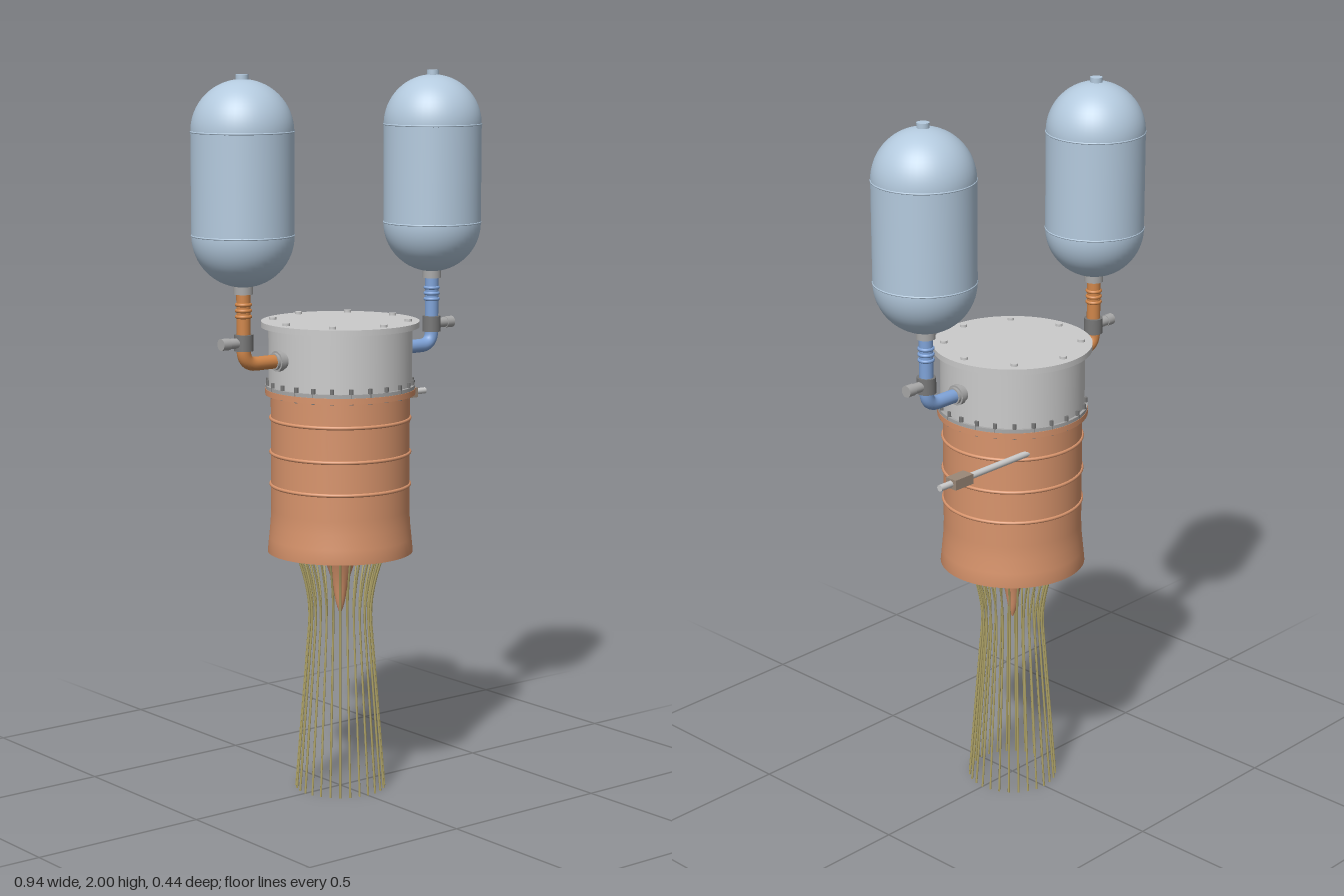
import * as THREE from 'three';

const paint = (color) => new THREE.MeshStandardMaterial({ color });
const grey = paint(0xcccccc), steel = paint(0xa8a8a8), dark = paint(0x777777);
const copper = paint(0xd8946c), tankBlue = paint(0xb4cade);
const fuel = paint(0xd0864a), oxidiser = paint(0x7fa3d8);
const brown = paint(0x9a8878), olive = paint(0xb0a468);
copper.side = THREE.DoubleSide;

function add(parent, name, geometry, material, x = 0, y = 0, z = 0) {
  const mesh = new THREE.Mesh(geometry, material);
  mesh.name = name;
  mesh.position.set(x, y, z);
  parent.add(mesh);
  return mesh;
}

// Upright cylinder given by its lower and upper height
function post(parent, name, r, y0, y1, material, x = 0, z = 0, sides = 32) {
  return add(parent, name, new THREE.CylinderGeometry(r, r, y1 - y0, sides), material, x, (y0 + y1) / 2, z);
}

// Cylinder lying along x
function bar(parent, name, r, x0, x1, y, z, material, sides = 24) {
  const mesh = add(parent, name, new THREE.CylinderGeometry(r, r, x1 - x0, sides), material, (x0 + x1) / 2, y, z);
  mesh.rotation.z = Math.PI / 2;
  return mesh;
}

function hoop(parent, name, r, tube, y, material, x = 0) {
  const mesh = add(parent, name, new THREE.TorusGeometry(r, tube, 10, 64), material, x, y, 0);
  mesh.rotation.x = Math.PI / 2;
  return mesh;
}

function boltCircle(parent, name, count, r, size, y0, y1, material) {
  const ring = new THREE.Group();
  ring.name = name;
  for (let i = 0; i < count; i++) {
    const a = (i / count) * Math.PI * 2;
    post(ring, 'bolt', size, y0, y1, material, r * Math.cos(a), r * Math.sin(a), 12);
  }
  parent.add(ring);
}

// Tank with its feed line; side is +1 or -1
function feedSystem(side, material) {
  const g = new THREE.Group();
  g.name = side > 0 ? 'leftFeedSystem' : 'rightFeedSystem';
  const x = side * 0.33;
  const span = (name, r, a, b, y, m) =>
    bar(g, name, r, Math.min(side * a, side * b), Math.max(side * a, side * b), y, 0, m);

  add(g, 'tank', new THREE.CapsuleGeometry(0.137, 0.275, 16, 48), tankBlue, x, 1.713, 0);
  for (const y of [1.577, 1.85]) hoop(g, 'tankWeld', 0.136, 0.0025, y, tankBlue, x);
  post(g, 'tankCap', 0.017, 1.97, 2, tankBlue, x);
  post(g, 'tankOutlet', 0.026, 1.42, 1.45, steel, x);

  // Pipe down from the tank, round the elbow and into the housing
  const path = new THREE.CurvePath();
  const v = (px, py) => new THREE.Vector3(side * px, py, 0);
  path.add(new THREE.LineCurve3(v(0.33, 1.43), v(0.33, 1.27)));
  path.add(new THREE.QuadraticBezierCurve3(v(0.33, 1.27), v(0.33, 1.23), v(0.29, 1.23)));
  path.add(new THREE.LineCurve3(v(0.29, 1.23), v(0.19, 1.23)));
  add(g, 'feedPipe', new THREE.TubeGeometry(path, 60, 0.019, 20), material);
  for (const y of [1.36, 1.376, 1.392]) hoop(g, 'bellowsRing', 0.018, 0.005, y, material, x);

  // Valve with its actuator pointing outwards
  post(g, 'valveBody', 0.026, 1.268, 1.312, dark, x);
  span('valveActuator', 0.014, 0.33, 0.385, 1.29, steel);
  span('actuatorCap', 0.016, 0.38, 0.405, 1.29, steel);
  span('inletFlange', 0.028, 0.208, 0.222, 1.23, steel);
  span('inletCollar', 0.023, 0.19, 0.23, 1.23, steel);
  return g;
}

export function createModel() {
  const model = new THREE.Group();
  model.name = 'plugNozzleEngine';

  // Grey upper housing and bolted lid
  post(model, 'housing', 0.198, 1.14, 1.31, grey, 0, 0, 64);
  post(model, 'lid', 0.218, 1.308, 1.324, grey, 0, 0, 64);
  boltCircle(model, 'lidBolts', 8, 0.187, 0.01, 1.32, 1.331, grey);
  post(model, 'housingFlange', 0.206, 1.138, 1.148, steel, 0, 0, 64);
  boltCircle(model, 'flangeBolts', 24, 0.2, 0.006, 1.12, 1.162, dark);
  post(model, 'chamberFlange', 0.207, 1.122, 1.138, copper, 0, 0, 64);

  // Copper shell, hollow at its lower end
  const shell = [[0.192, 1.125], [0.192, 0.8], [0.194, 0.76], [0.198, 0.72], [0.202, 0.68],
    [0.196, 0.68], [0.19, 0.73], [0.182, 0.8], [0.178, 0.9], [0.05, 0.9]];
  add(model, 'chamberShell',
    new THREE.LatheGeometry(shell.map(([r, y]) => new THREE.Vector2(r, y)).reverse(), 64), copper);
  for (const y of [1.055, 0.96, 0.87]) hoop(model, 'chamberBand', 0.192, 0.005, y, copper);

  // Concave central spike
  const spike = new THREE.SplineCurve([[0.002, 0.5], [0.012, 0.53], [0.026, 0.6], [0.055, 0.68],
    [0.105, 0.77], [0.15, 0.83], [0.165, 0.9]].map(([r, y]) => new THREE.Vector2(r, y)));
  add(model, 'centralSpike', new THREE.LatheGeometry(spike.getPoints(24), 48), copper);

  // Exhaust streamlines, drawn in to a waist and then spreading
  const stream = new THREE.CatmullRomCurve3([[0.172, 0.84], [0.15, 0.75], [0.122, 0.67], [0.098, 0.59],
    [0.087, 0.51], [0.095, 0.38], [0.11, 0.19], [0.125, 0]].map(([r, y]) => new THREE.Vector3(r, y, 0)));
  const streamGeometry = new THREE.TubeGeometry(stream, 36, 0.003, 6);
  const plume = new THREE.Group();
  plume.name = 'exhaustStreamlines';
  const lines = 28;
  for (let i = 0; i < lines; i++) {
    add(plume, 'streamline', streamGeometry, olive).rotation.y = (i / lines) * Math.PI * 2;
  }
  model.add(plume);

  // Igniter rod on the rear left
  const igniter = new THREE.Group();
  igniter.name = 'igniter';
  bar(igniter, 'igniterRod', 0.009, 0.08, 0.437, 1.07, -0.153, grey);
  add(igniter, 'igniterBlock', new THREE.BoxGeometry(0.065, 0.028, 0.037), brown, 0.363, 1.07, -0.153);
  model.add(igniter);

  // Tanks and feed lines on both sides
  model.add(feedSystem(1, oxidiser), feedSystem(-1, fuel));
  return model;
}
